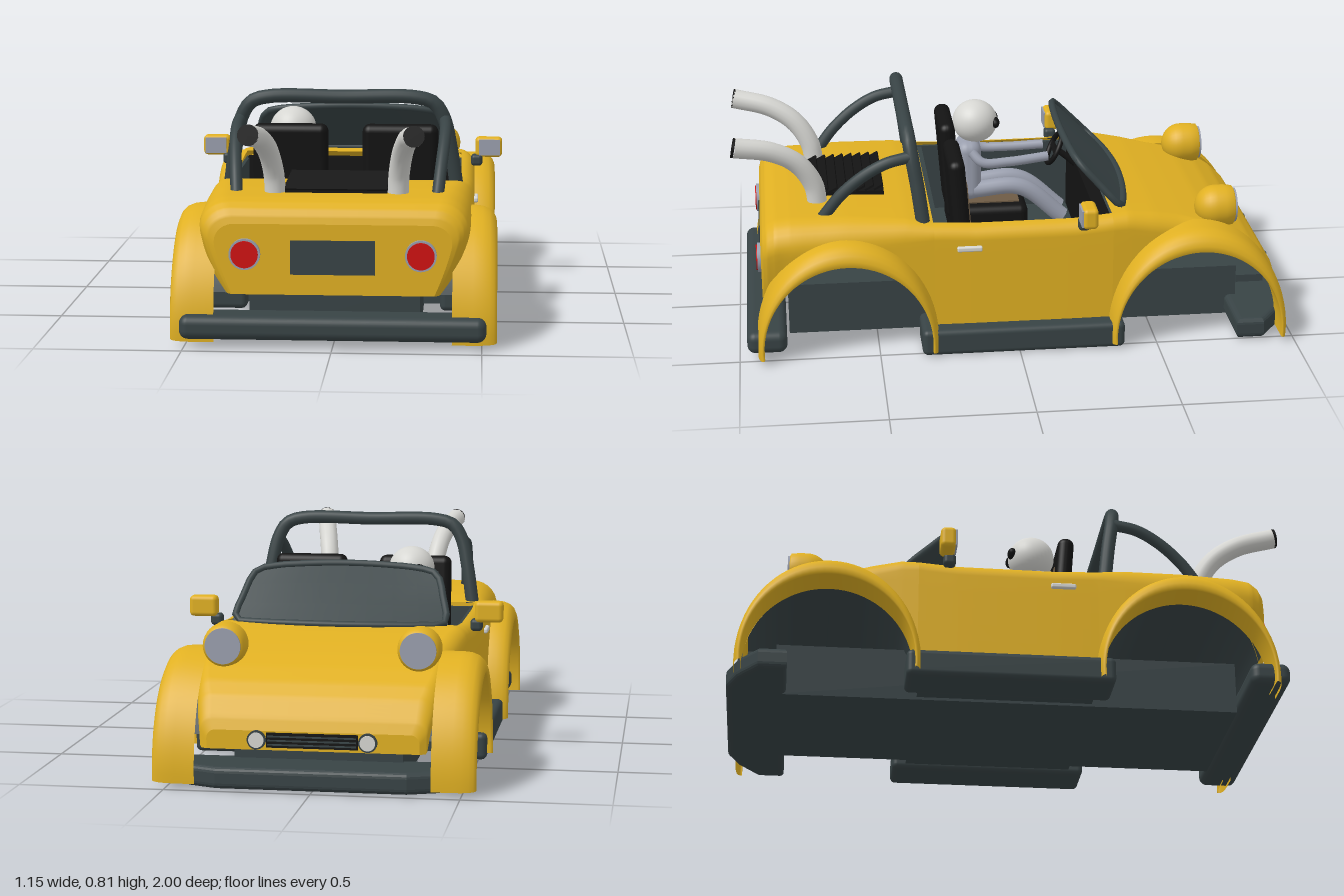
import * as THREE from 'three';
import { RoundedBoxGeometry } from 'three/addons/geometries/RoundedBoxGeometry.js';

const mat = (name, color, side = THREE.FrontSide) => {
  const m = new THREE.MeshStandardMaterial({ color, side });
  m.name = name;
  return m;
};

export function createModel() {
  const car = new THREE.Group();
  car.name = 'openBuggy';
  const yellow = mat('yellow paint', 0xe0b022, THREE.DoubleSide);
  const dark = mat('dark grey', 0x384345, THREE.DoubleSide);
  const black = mat('black', 0x131313);
  const light = mat('light grey', 0xd6d6d2);
  const steel = mat('blue grey', 0x9a9fae);
  const red = mat('red', 0xd01010);
  const brown = mat('brown', 0x6e5b44);

  // ---- helpers ----
  const add = (name, geo, m, x = 0, y = 0, z = 0, rx = 0) => {
    const mesh = new THREE.Mesh(geo, m);
    mesh.name = name;
    mesh.position.set(x, y, z);
    mesh.rotation.x = rx;
    car.add(mesh);
    return mesh;
  };
  const box = (name, m, x0, x1, y0, y1, z0, z1, r = 0) => {
    const s = [x1 - x0, y1 - y0, z1 - z0];
    const geo = r ? new RoundedBoxGeometry(...s, 4, r) : new THREE.BoxGeometry(...s);
    return add(name, geo, m, (x0 + x1) / 2, (y0 + y1) / 2, (z0 + z1) / 2);
  };
  const tube = (name, m, pts, r, closed = false) => {
    const curve = new THREE.CatmullRomCurve3(pts.map(p => new THREE.Vector3(...p)), closed, 'centripetal');
    return add(name, new THREE.TubeGeometry(curve, 48, r, 14, closed), m);
  };
  const disc = (name, m, r, depth, x, y, z) =>
    add(name, new THREE.CylinderGeometry(r, r, depth, 32), m, x, y, z, Math.PI / 2);
  // surface through rows of points with equal counts
  const loft = (name, m, rows) => {
    const n = rows[0].length, index = [];
    for (let i = 0; i < rows.length - 1; i++)
      for (let j = 0; j < n - 1; j++) {
        const a = i * n + j, b = a + n;
        index.push(a, a + 1, b, a + 1, b + 1, b);
      }
    const geo = new THREE.BufferGeometry();
    geo.setAttribute('position', new THREE.Float32BufferAttribute(rows.flat(2), 3));
    geo.setIndex(index);
    geo.computeVertexNormals();
    return add(name, geo, m);
  };
  const both = fn => [1, -1].forEach(fn);

  // ---- body shell: bottom edge follows the wheel arches ----
  const FRONT = -0.65, REAR = 0.612, AY = 0.05, AZ = 0.305, AH = 0.32;
  const bottom = z => {
    let y = z > 0.75 ? 0.18 : z < -0.75 ? 0.14 : 0.1;
    for (const c of [FRONT, REAR]) {
      const d = (z - c) / AZ;
      if (Math.abs(d) < 1) y = Math.max(y, AY + AH * Math.sqrt(1 - d * d));
    }
    return y;
  };
  // half cross-section from lower edge to shoulder, optionally to the centre line
  const half = (z, w, h, r0, tuck, full) => {
    const b = bottom(z), r = Math.min(r0, (h - b) * 0.7), p = [];
    for (let j = 0; j < 5; j++) p.push([w, b + (h - r - b) * j / 5]);
    for (let j = 0; j <= 7; j++) {
      const a = j / 7 * Math.PI / 2;
      p.push([w - r + r * Math.cos(a), h - r + r * Math.sin(a)]);
    }
    if (full) for (let j = 1; j <= 4; j++) p.push([(w - r) * (1 - j / 4), h]);
    return p.map(([x, y]) => {
      const t = Math.min(1, Math.max(0, (0.42 - y) / 0.24));
      return [x * (1 - tuck * Math.pow(t, 1.5)), y, z];
    });
  };
  const mirror = p => p.map(([x, y, z]) => [-x, y, z]);
  const fullRow = s => {
    const p = half(...s, true);
    return p.concat(mirror(p).reverse().slice(1));
  };
  const refine = table => table.flatMap((s, i) => {
    const t = table[i + 1];
    if (!t) return [s];
    return [0, 0.2, 0.4, 0.6, 0.8].map(k => s.map((v, c) => v + (t[c] - v) * k));
  });
  const cap = row => [row, row.map(([, y, z]) => [0, y, z])];

  // stations: z, half width, height, shoulder radius, lower tuck
  const hood = refine([
    [-0.955, 0.36, 0.205, 0.03, 0], [-0.94, 0.385, 0.245, 0.04, 0], [-0.9, 0.4, 0.31, 0.05, 0],
    [-0.85, 0.41, 0.355, 0.06, 0], [-0.78, 0.42, 0.395, 0.06, 0], [-0.7, 0.425, 0.425, 0.06, 0],
    [-0.6, 0.435, 0.45, 0.06, 0], [-0.5, 0.45, 0.472, 0.06, 0], [-0.4, 0.462, 0.487, 0.055, 0],
    [-0.34, 0.468, 0.482, 0.05, 0]]).map(fullRow);
  const deck = refine([
    [0.3, 0.468, 0.475, 0.05, 0], [0.4, 0.468, 0.49, 0.07, 0], [0.6, 0.466, 0.498, 0.09, 0],
    [0.8, 0.46, 0.495, 0.1, 0.1], [0.86, 0.455, 0.487, 0.1, 0.17], [0.89, 0.445, 0.468, 0.1, 0.19],
    [0.905, 0.43, 0.445, 0.09, 0.19], [0.912, 0.41, 0.42, 0.08, 0.17]]).map(fullRow);
  loft('hood', yellow, hood);
  loft('nosePanel', yellow, cap(hood[0]).reverse());
  loft('rearDeck', yellow, deck);
  loft('rearPanel', yellow, cap(deck[deck.length - 1]));
  const doors = refine([[-0.34, 0.468, 0.482, 0.05, 0], [-0.2, 0.47, 0.47, 0.05, 0],
    [0.15, 0.47, 0.468, 0.05, 0], [0.3, 0.468, 0.475, 0.05, 0]]).map(s => half(...s, false));
  loft('leftDoor', yellow, doors);
  loft('rightDoor', yellow, doors.map(mirror));

  // ---- flared wheel arches and dark liners ----
  const flare = [[0.4, 1], [0.47, 1], [0.5, 0.95], [0.525, 0.8], [0.54, 0.58], [0.548, 0.3],
    [0.55, 0], [0.54, -0.06], [0.42, -0.06]];
  for (const [label, c] of [['front', FRONT], ['rear', REAR]]) {
    const arc = (a0, a1, fn) => Array.from({ length: 41 }, (_, i) => fn(a0 + (a1 - a0) * i / 40));
    both(s => loft(label + 'Fender', yellow, arc(-0.08, Math.PI + 0.08, a => flare.map(([x, f]) =>
      [s * x, AY + (AH + 0.068 * f) * Math.sin(a), c + (0.301 + 0.023 * f) * Math.cos(a)]))));
    const out = Math.sign(c);
    loft(label + 'WheelLiner', dark, arc(0.42, Math.PI, a => [0.42, -0.42].map(x =>
      [x, AY + (AH + 0.003) * Math.sin(a), c + out * (AZ + 0.002) * Math.cos(a)])));
  }

  // ---- chassis, sills and bumpers ----
  box('chassis', dark, -0.29, 0.29, 0.01, 0.2, -0.83, 0.82);
  box('cabinFloor', dark, -0.41, 0.41, 0.02, 0.2, -0.33, 0.295);
  box('cabinRearWall', dark, -0.41, 0.41, 0.2, 0.46, 0.28, 0.298);
  box('dashboard', black, -0.41, 0.41, 0.2, 0.465, -0.338, -0.29);
  both(s => {
    box('cabinSideWall', dark, s * 0.412 - 0.007, s * 0.412 + 0.007, 0.2, 0.462, -0.335, 0.298);
    box('sill', dark, s * 0.44 - 0.09, s * 0.44 + 0.09, 0.003, 0.1, -0.38, 0.35, 0.02);
  });
  box('rearBumper', dark, -0.515, 0.515, 0.032, 0.114, 0.83, 0.972, 0.03);
  box('noseBrace', dark, -0.3, 0.3, 0.138, 0.165, -0.93, -0.83);
  const plan = new THREE.Shape([[-0.5, 0.81], [0.5, 0.81], [0.5, 0.88], [0.41, 0.945], [0.32, 0.98],
    [-0.32, 0.98], [-0.41, 0.945], [-0.5, 0.88]].map(p => new THREE.Vector2(...p)));
  add('frontBumper', new THREE.ExtrudeGeometry(plan, { depth: 0.035, bevelThickness: 0.02,
    bevelSize: 0.02, bevelSegments: 4 }), dark, 0, 0.03, 0, -Math.PI / 2);

  // ---- nose details ----
  box('grille', black, -0.155, 0.155, 0.15, 0.2, -0.962, -0.954);
  for (let i = 0; i < 3; i++) box('grilleBar', dark, -0.15, 0.15, 0.158 + i * 0.014, 0.163 + i * 0.014, -0.967, -0.96);
  both(s => {
    disc('noseLampRim', dark, 0.032, 0.014, s * 0.188, 0.175, -0.958);
    disc('noseLamp', light, 0.026, 0.008, s * 0.188, 0.175, -0.965);
  });

  // ---- headlamps, mirrors, handles, tail lamps ----
  const bowl = [[0.06, -0.066], [0.071, -0.06], [0.075, -0.03]];
  for (let i = 0; i <= 8; i++) bowl.push([0.075 * Math.cos(i / 8 * Math.PI / 2), 0.075 * Math.sin(i / 8 * Math.PI / 2)]);
  const bowlGeo = new THREE.LatheGeometry(bowl.map(p => new THREE.Vector2(...p)), 32);
  both(s => {
    add('headlampShell', bowlGeo, yellow, s * 0.335, 0.462, -0.732, Math.PI / 2);
    disc('headlampLens', steel, 0.062, 0.009, s * 0.335, 0.462, -0.799);
    box('mirrorShell', yellow, s * 0.523 - 0.051, s * 0.523 + 0.051, 0.482, 0.558, -0.27, -0.215, 0.016);
    box('mirrorGlass', steel, s * 0.526 - 0.04, s * 0.526 + 0.04, 0.49, 0.55, -0.219, -0.211);
    box('mirrorMount', dark, s * 0.477 - 0.022, s * 0.477 + 0.022, 0.448, 0.492, -0.255, -0.21, 0.014);
    box('doorHandle', light, s * 0.475 - 0.009, s * 0.475 + 0.009, 0.381, 0.4, 0.13, 0.22, 0.006);
    disc('tailLampRim', steel, 0.053, 0.02, s * 0.295, 0.318, 0.915);
    disc('tailLamp', red, 0.046, 0.008, s * 0.295, 0.318, 0.925);
  });
  box('rearPlate', dark, -0.142, 0.142, 0.25, 0.366, 0.91, 0.918);

  // ---- windscreen ----
  const screen = (u, v) => [u * (0.39 - 0.055 * v), 0.488 + 0.192 * v - 0.02 * u * u * v,
    -0.425 + 0.225 * v + u * u * (0.045 - 0.065 * v)];
  const steps = [-1, -0.75, -0.5, -0.25, 0, 0.25, 0.5, 0.75, 1];
  loft('windscreen', dark, [0, 0.33, 0.67, 1].map(v => steps.map(u => screen(u, v))));
  const inner = steps.slice(1, -1);
  tube('windscreenFrame', dark, [[-0.97, 0.04], ...inner.map(u => [u, 0]), [0.97, 0.04], [1, 0.5], [0.97, 0.94],
    ...inner.map(u => [-u, 1]), [-0.97, 0.94], [-1, 0.5]].map(p => screen(...p)), 0.013, true);

  // ---- roll bar ----
  const hoop = [[0.405, 0.47, 0.335], [0.385, 0.6, 0.352], [0.36, 0.71, 0.37], [0.325, 0.765, 0.378], [0.26, 0.785, 0.382]];
  tube('rollHoop', dark, [...hoop, [0, 0.785, 0.382], ...mirror(hoop).reverse()], 0.025);
  both(s => {
    tube('rollBrace', dark, [[s * 0.365, 0.705, 0.375], [s * 0.368, 0.685, 0.46], [s * 0.364, 0.64, 0.54],
      [s * 0.355, 0.57, 0.62], [s * 0.345, 0.48, 0.69]], 0.021);
    // exhaust horns
    tube('exhaustPipe', light, [[s * 0.21, 0.47, 0.7], [s * 0.214, 0.56, 0.715], [s * 0.228, 0.645, 0.77],
      [s * 0.248, 0.7, 0.86], [s * 0.272, 0.73, 0.994]], 0.036);
    const mouth = disc('exhaustMouth', black, 0.0355, 0.008, s * 0.272, 0.73, 0.994);
    mouth.rotation.x = Math.PI / 2 - 0.2;
  });

  // ---- engine vent ----
  box('engineVent', black, -0.175, 0.175, 0.48, 0.51, 0.46, 0.725);
  for (let i = 0; i < 8; i++)
    add('ventSlat', new THREE.BoxGeometry(0.35, 0.008, 0.036), black, 0, 0.522 - i * 0.001, 0.479 + i * 0.033, 0.5);

  // ---- seats ----
  both(s => {
    const x = s * 0.2;
    box('seatBase', black, x - 0.137, x + 0.137, 0.2, 0.33, -0.1, 0.2, 0.03);
    box('seatCushion', brown, x - 0.09, x + 0.09, 0.326, 0.335, -0.07, 0.13);
    add('seatBack', new RoundedBoxGeometry(0.275, 0.38, 0.06, 4, 0.028), black, x, 0.475, 0.193, 0.08);
    add('seatBackPad', new THREE.BoxGeometry(0.18, 0.2, 0.008), brown, x, 0.46, 0.161, 0.08);
  });

  // ---- steering wheel ----
  add('steeringWheel', new THREE.TorusGeometry(0.062, 0.01, 10, 32), black, -0.2, 0.51, -0.215, -0.45);
  add('steeringSpoke', new THREE.BoxGeometry(0.12, 0.02, 0.01), black, -0.2, 0.51, -0.215, -0.45);
  tube('steeringColumn', black, [[-0.2, 0.51, -0.215], [-0.2, 0.475, -0.26], [-0.2, 0.43, -0.31]], 0.012);

  // ---- driver ----
  const head = add('driverHead', new THREE.SphereGeometry(0.085, 32, 24), light, -0.2, 0.632, 0.09);
  head.scale.y = 0.95;
  box('driverTorso', steel, -0.275, -0.125, 0.33, 0.565, 0.07, 0.163, 0.04);
  both(s => {
    const lens = add('driverGlasses', new THREE.SphereGeometry(0.027, 16, 12), black, -0.2 + s * 0.034, 0.634, 0.016);
    lens.scale.set(1.1, 0.75, 0.6);
    tube('driverArm', steel, [[-0.2 + s * 0.07, 0.53, 0.11], [-0.2 + s * 0.092, 0.495, 0.07],
      [-0.2 + s * 0.085, 0.492, -0.03], [-0.2 + s * 0.068, 0.503, -0.18]], 0.018);
    tube('driverLeg', steel, [[-0.2 + s * 0.045, 0.37, 0.1], [-0.2 + s * 0.05, 0.375, -0.08], [-0.2 + s * 0.05, 0.25, -0.24]], 0.032);
  });
  return car;
}
